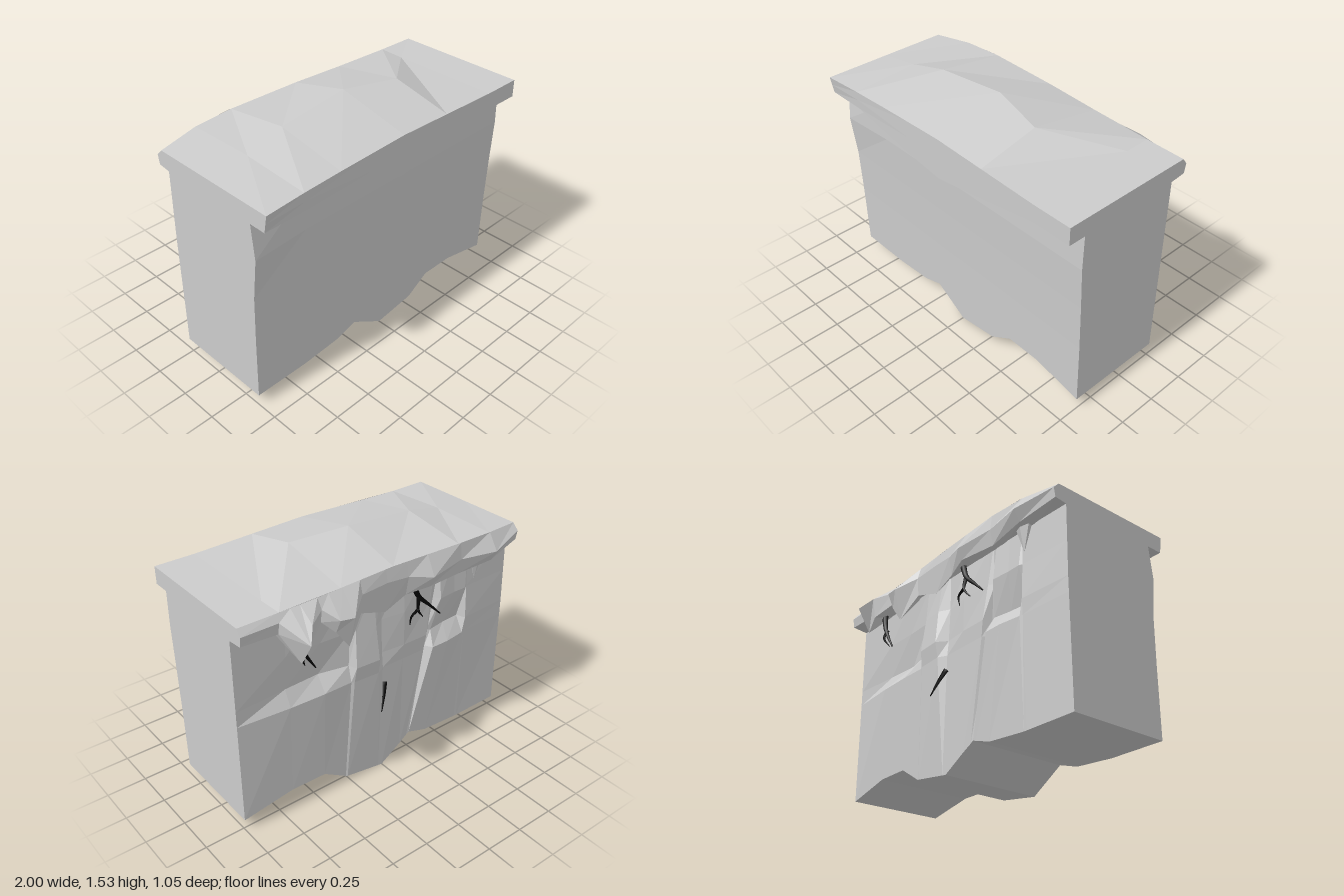
import * as THREE from 'three';

const rock = new THREE.MeshStandardMaterial({ color: 0xcccccc, flatShading: true, side: THREE.DoubleSide });
const bark = new THREE.MeshStandardMaterial({ color: 0x050505 });

// Linear interpolation in a table of [x, value] pairs sorted by x
function lerpAt(table, x) {
  let i = 0;
  while (i < table.length - 2 && x > table[i + 1][0]) i++;
  const [x0, a] = table[i], [x1, b] = table[i + 1];
  return a + (b - a) * (x - x0) / (x1 - x0);
}

// Faceted surface through columns of points
function sheet(name, cols) {
  const pos = [];
  for (let i = 0; i < cols.length - 1; i++) {
    for (let j = 0; j < cols[i].length - 1; j++) {
      const a = cols[i][j], b = cols[i + 1][j], c = cols[i + 1][j + 1], d = cols[i][j + 1];
      pos.push(...a, ...b, ...c, ...a, ...c, ...d);
    }
  }
  const geo = new THREE.BufferGeometry();
  geo.setAttribute('position', new THREE.Float32BufferAttribute(pos, 3));
  geo.computeVertexNormals();
  const mesh = new THREE.Mesh(geo, rock);
  mesh.name = name;
  return mesh;
}

// Tapering root along a few points
function root(points, radius) {
  const curve = new THREE.CatmullRomCurve3(points.map(p => new THREE.Vector3(...p)));
  const seg = 8, sides = 5;
  const geo = new THREE.TubeGeometry(curve, seg, radius, sides);
  const p = geo.attributes.position, v = new THREE.Vector3();
  for (let i = 0; i < p.count; i++) {
    const t = Math.floor(i / (sides + 1)) / seg;
    v.fromBufferAttribute(p, i).lerp(curve.getPointAt(t), t * 0.8);
    p.setXYZ(i, v.x, v.y, v.z);
  }
  geo.computeVertexNormals();
  return new THREE.Mesh(geo, bark);
}

// Height of the ragged underside
const base = [[-1, 0.075], [-0.64, 0.075], [-0.37, 0.095], [-0.23, 0.14], [0, 0],
  [0.28, 0.04], [0.44, 0.14], [0.67, 0.14], [1, 0.075]];

// Back wall columns: x at the base, x higher up, then depth at each level
const wall = [
  [1, 1, 0.27, 0.27, 0.27, 0.27, 0.27],
  [0.67, 0.67, 0.285, 0.30, 0.25, 0.27, 0.27],
  [0.44, 0.44, 0.29, 0.31, 0.24, 0.27, 0.28],
  [0.28, 0.24, 0.29, 0.31, 0.28, 0.28, 0.28],
  [0.27, 0.22, 0.295, 0.32, 0.335, 0.31, 0.29],
  [0.03, 0.08, 0.30, 0.33, 0.345, 0.32, 0.29],
  [0, 0.01, 0.30, 0.30, 0.29, 0.28, 0.28],
  [-0.15, -0.15, 0.295, 0.30, 0.305, 0.30, 0.28],
  [-0.21, -0.36, 0.29, 0.30, 0.305, 0.29, 0.28],
  [-0.23, -0.40, 0.29, 0.27, 0.26, 0.27, 0.28],
  [-0.25, -0.43, 0.29, 0.32, 0.27, 0.31, 0.28],
  [-0.37, -0.55, 0.29, 0.32, 0.25, 0.30, 0.28],
  [-0.64, -0.64, 0.285, 0.30, 0.24, 0.30, 0.28],
  [-0.66, -0.66, 0.285, 0.295, 0.30, 0.29, 0.28],
  [-1, -1, 0.28, 0.28, 0.28, 0.275, 0.27],
];
const levels = [0, 0.74, 0.84, 1.06, 1.31];

// Back lip columns: x, bulge depth, bulge y, tip depth, tip y
const lip = [
  [1, 0.38, 1.36, 0.37, 1.30],
  [0.77, 0.38, 1.36, 0.37, 1.29],
  [0.68, 0.53, 1.26, 0.44, 1.11],
  [0.62, 0.46, 1.33, 0.44, 1.20],
  [0.51, 0.39, 1.35, 0.38, 1.27],
  [0.44, 0.46, 1.29, 0.42, 1.20],
  [0.35, 0.47, 1.28, 0.42, 1.08],
  [0.23, 0.38, 1.34, 0.37, 1.22],
  [0.05, 0.375, 1.35, 0.36, 1.16],
  [-0.10, 0.38, 1.34, 0.36, 1.22],
  [-0.25, 0.43, 1.31, 0.40, 1.24],
  [-0.50, 0.39, 1.33, 0.37, 1.23],
  [-0.75, 0.43, 1.32, 0.39, 1.25],
  [-1, 0.36, 1.36, 0.35, 1.30],
];

// Top surface edges and ridge
const frontY = [[-1, 1.40], [-0.65, 1.405], [0, 1.425], [0.75, 1.40], [1, 1.40]];
const frontZ = [[-1, 0.525], [-0.65, 0.505], [1, 0.505]];
const backY = [[-1, 1.40], [-0.65, 1.43], [0, 1.43], [0.58, 1.405], [1, 1.40]];
const backZ = [[-1, -0.32], [-0.65, -0.38], [0, -0.36], [1, -0.35]];
const ridge = [[-1, 1.40, 0.10], [-0.74, 1.43, 0.08], [-0.48, 1.49, 0.06], [0, 1.53, 0.04],
  [0.36, 1.50, 0.12], [0.75, 1.40, -0.19], [1, 1.40, 0]];
const skirtY = [[-1, 1.29], [-0.74, 1.29], [-0.27, 1.20], [0, 1.165], [0.3, 1.21], [0.75, 1.29], [1, 1.29]];

export function createModel() {
  const model = new THREE.Group();

  // Rock body
  const front = base.map(([x, y]) => [
    [x, y, 0.37], [x, 0.5, 0.378], [x, 0.8, 0.388],
    [x, 1.07, x === -1 ? 0.42 : 0.40], [x, 1.31, 0.395]]);
  const back = wall.map(([xb, xt, ...depth]) => depth.map((d, j) => {
    const x = xb + (xt - xb) * Math.min(1, levels[j] / 1.06);
    return [x, j ? levels[j] : lerpAt(base, xb), -d];
  }));
  const body = new THREE.Group();
  body.name = 'rockBody';
  body.add(
    sheet('frontWall', front),
    sheet('backWall', back),
    sheet('leftWall', [front.at(-1), back[0]]),
    sheet('rightWall', [back.at(-1), front[0]]),
    sheet('underside', [...wall].reverse().map(([x, , d]) => {
      const y = lerpAt(base, x);
      return [[x, y, -d], [x, y, 0.37]];
    })));

  // Overhanging cap: skirt at the front, domed top, drooping lip at the back
  const skirt = skirtY.map(([x, y]) => {
    const z = lerpAt(frontZ, x), top = lerpAt(frontY, x);
    return [[x, y, 0.395], [x, y, 0.505], [x, (y + top) / 2, (z + 0.505) / 2], [x, top, z]];
  });
  const top = ridge.map(([x, y, z]) => [
    [x, lerpAt(frontY, x), lerpAt(frontZ, x)], [x, y, z], [x, lerpAt(backY, x), lerpAt(backZ, x)]]);
  const edge = lip.map(([x, d, y, tipD, tipY]) => [
    [x, 1.29, -0.265], [x, tipY, -tipD], [x, y, -d], [x, lerpAt(backY, x), lerpAt(backZ, x)]]);
  const cap = new THREE.Group();
  cap.name = 'cap';
  cap.add(
    sheet('frontSkirt', skirt),
    sheet('topSurface', top),
    sheet('backLip', edge),
    sheet('leftCapEnd', [skirt.at(-1), edge[0]]),
    sheet('rightCapEnd', [edge.at(-1), skirt[0]]));

  // Small tuft hanging below the back lip
  const tuft = new THREE.Mesh(new THREE.ConeGeometry(0.06, 0.18, 5), rock);
  tuft.name = 'hangingTuft';
  tuft.rotation.x = Math.PI;
  tuft.scale.z = 0.6;
  tuft.position.set(-0.70, 1.20, -0.31);
  cap.add(tuft);

  // Roots dangling from the back wall
  const roots = new THREE.Group();
  roots.name = 'roots';
  roots.add(
    root([[0.65, 1.26, -0.34], [0.63, 1.16, -0.345], [0.59, 1.08, -0.35], [0.53, 0.98, -0.35]], 0.022),
    root([[0.61, 1.13, -0.34], [0.62, 1.07, -0.36], [0.59, 1.01, -0.335]], 0.013),
    root([[-0.18, 1.25, -0.33], [-0.22, 1.16, -0.34], [-0.30, 1.08, -0.345], [-0.39, 0.99, -0.35]], 0.02),
    root([[-0.22, 1.16, -0.34], [-0.21, 1.08, -0.35], [-0.26, 1.01, -0.34]], 0.014),
    root([[-0.21, 1.08, -0.35], [-0.16, 1.05, -0.35], [-0.16, 0.99, -0.34]], 0.011),
    root([[0, 0.64, -0.31], [0.03, 0.57, -0.34], [0.07, 0.48, -0.37]], 0.016));
  roots.children.forEach(r => { r.name = 'root'; });

  model.add(body, cap, roots);
  return model;
}
